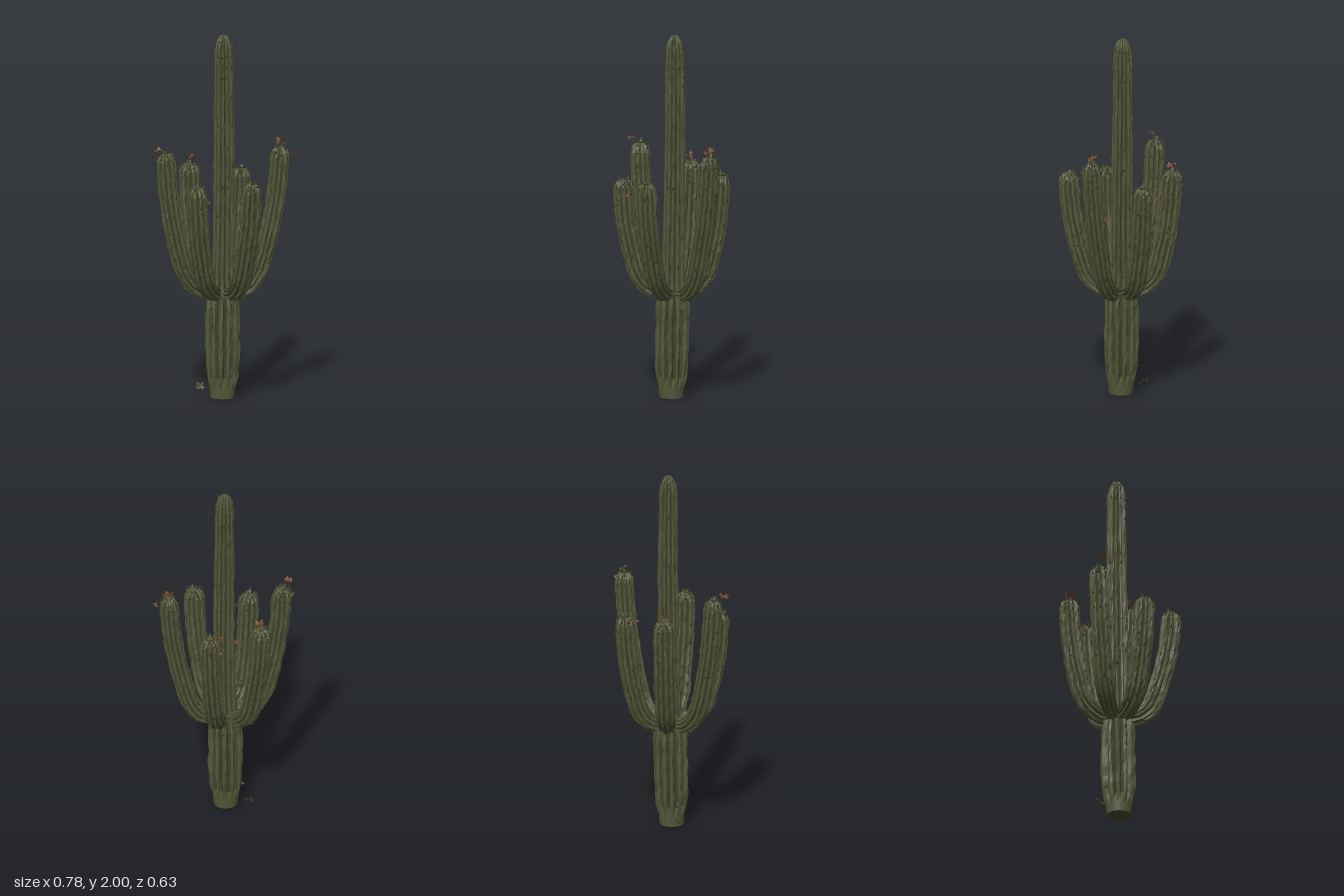
import * as THREE from 'three';

const mat = (name, color, side = THREE.FrontSide) => {
  const m = new THREE.MeshStandardMaterial({ color, flatShading: true, side });
  m.name = name;
  return m;
};

// Small seeded random, -1 to 1
let seed = 7;
const rnd = () => {
  seed = (seed * 16807) % 2147483647;
  return (seed / 2147483647) * 2 - 1;
};
const V = (x, y, z) => new THREE.Vector3(x, y, z);

// Piecewise linear lookup in [[u, radius], ...]
function lookup(profile, u) {
  for (let i = 1; i < profile.length; i++) {
    const [u0, r0] = profile[i - 1], [u1, r1] = profile[i];
    if (u <= u1) return r0 + ((r1 - r0) * (u - u0)) / (u1 - u0);
  }
  return profile[profile.length - 1][1];
}

function toGeometry(lists) {
  const g = new THREE.BufferGeometry();
  const all = lists.flat();
  g.setAttribute('position', new THREE.Float32BufferAttribute(all.flatMap((p) => [p.x, p.y, p.z]), 3));
  let start = 0;
  lists.forEach((l, i) => {
    g.addGroup(start, l.length, i);
    start += l.length;
  });
  g.computeVertexNormals();
  return g;
}

// Ribbed, slightly ragged stem along a curve; group 0 = ribs, group 1 = grooves.
// Also collects ragged bark shards along the ribs and at the tip.
function ribbedStem(curve, side, profile, ribs, rings, smoothUntil, shards) {
  const ribShape = [0.8, 0.96, 1.05, 0.96];
  const n = ribs * 4;
  const us = [];
  for (let k = 0; k <= rings; k++) us.push((k / rings) * 0.94);
  us.push(0.965, 0.985, 1);
  const loops = us.map((u, k) => {
    const c = curve.getPointAt(u), t = curve.getTangentAt(u);
    const N = side.clone().cross(t).normalize();
    const B = t.clone().cross(N);
    const loop = [];
    for (let i = 0; i < n; i++) {
      const smooth = u < smoothUntil;
      const f = smooth ? 1 : ribShape[i % 4] + rnd() * 0.05;
      const a = ((i + (smooth ? 0 : rnd() * 0.22)) / n) * Math.PI * 2;
      const r = lookup(profile, u) * f;
      const out = N.clone().multiplyScalar(Math.cos(a)).addScaledVector(B, Math.sin(a));
      const p = c.clone().addScaledVector(out, r);
      if (k > 0 && k < us.length - 1 && !smooth) p.addScaledVector(t, rnd() * 0.006);
      loop.push(p);
      // shards peel off rib crests, more of them near the tip
      if (!smooth && u > 0.15 && i % 4 === 2 && Math.abs(rnd()) < (u > 0.9 ? 0.65 : 0.22)) {
        const w = out.clone().cross(t).multiplyScalar(0.008);
        const tip = p.clone().addScaledVector(out, 0.007 + 0.005 * rnd()).addScaledVector(t, 0.022 + 0.012 * rnd());
        if (tip.y < 1.995) shards.push(p.clone().add(w), p.clone().sub(w), tip);
      }
    }
    return loop;
  });
  const rib = [], groove = [];
  for (let k = 0; k < loops.length - 1; k++)
    for (let i = 0; i < n; i++) {
      const j = (i + 1) % n;
      const a = loops[k][i], b = loops[k][j], c = loops[k + 1][j], d = loops[k + 1][i];
      const inGroove = us[k] >= smoothUntil && (i % 4 === 0 || i % 4 === 3);
      (inGroove ? groove : rib).push(a, b, c, a, c, d);
    }
  // end caps
  const first = loops[0], last = loops[loops.length - 1];
  const c0 = curve.getPointAt(0), c1 = curve.getPointAt(1);
  for (let i = 0; i < n; i++) {
    const j = (i + 1) % n;
    groove.push(c0, first[j], first[i]);
    rib.push(c1, last[i], last[j]);
  }
  return toGeometry([rib, groove]);
}

// Withered blossom: a few bent, pointed petals around a centre
function blossom(size) {
  const pts = [];
  for (let i = 0; i < 5; i++) {
    const a = (i / 5) * Math.PI * 2 + rnd() * 0.4;
    const dir = V(Math.cos(a), 0.35 * rnd(), Math.sin(a)).normalize();
    const w = V(-Math.sin(a), 0.5 * rnd(), Math.cos(a)).multiplyScalar(size * 0.35);
    const mid = dir.clone().multiplyScalar(size * 0.65);
    const tip = dir.clone().multiplyScalar(size * (1 + 0.2 * rnd()));
    tip.y += size * 0.35;
    const l = mid.clone().add(w), r = mid.clone().sub(w);
    pts.push(V(0, 0, 0), l, r, l, tip, r);
  }
  return toGeometry([pts]);
}

export function createModel() {
  seed = 7;
  const group = new THREE.Group();
  const ribMat = mat('olive green', 0x55573a);
  const grooveMat = mat('dark olive groove', 0x42452d);
  const shardMat = mat('dry bark green', 0x474a31, THREE.DoubleSide);
  const brownMat = mat('withered brown', 0x74492b, THREE.DoubleSide);
  const shards = [];
  const add = (name, geo, material) => {
    const m = new THREE.Mesh(geo, material);
    m.name = name;
    group.add(m);
    return m;
  };

  // Trunk: smooth foot, thick lower column, slim upper column
  const trunkCurve = new THREE.CatmullRomCurve3([
    V(-0.018, 0, 0), V(-0.013, 0.5, -0.008), V(-0.006, 1, -0.012), V(-0.006, 1.5, -0.018), V(-0.008, 2, -0.018),
  ]);
  const trunkProfile = [[0, 0.066], [0.05, 0.074], [0.06, 0.086], [0.15, 0.09], [0.265, 0.088], [0.3, 0.07],
    [0.34, 0.06], [0.5, 0.057], [0.94, 0.049], [0.965, 0.046], [0.985, 0.036], [1, 0.018]];
  add('trunk', ribbedStem(trunkCurve, V(0, 0, 1), trunkProfile, 12, 34, 0.055, shards), [ribMat, grooveMat]);

  // Arms: [name, tip x, tip z, tip height, bulge of the elbow, radius]
  const arms = [
    ['leftArm', 0.305, -0.02, 1.375, 0, 0.05],
    ['rightArm', -0.327, -0.018, 1.355, 0.03, 0.052],
    ['backRightArm', -0.162, -0.24, 1.255, 0.05, 0.055],
    ['frontLeftArm', 0.105, 0.262, 1.23, 0.02, 0.054],
    ['frontRightArm', -0.188, 0.198, 1.2, 0.05, 0.055],
    ['backLeftArm', 0.12, -0.235, 1.22, 0.04, 0.052],
  ];
  const armProfile = [[0, 0.036], [0.15, 0.046], [0.3, 1], [0.94, 1], [0.965, 0.88], [0.985, 0.68], [1, 0.35]];
  for (const [name, tx, tz, top, bulge, r] of arms) {
    const cx = -0.012, cz = -0.015;
    const reach = Math.hypot(tx - cx, tz - cz);
    const dx = (tx - cx) / reach, dz = (tz - cz) / reach;
    const at = (f, y) => V(cx + dx * reach * f, y, cz + dz * reach * f);
    const rise = top - 0.58;
    const curve = new THREE.CatmullRomCurve3([
      at(0.08, 0.58), at(0.36, 0.59), at(0.58 + bulge, 0.58 + rise * 0.11),
      at(0.76 + bulge, 0.58 + rise * 0.34), at(0.92 + bulge / 2, 0.58 + rise * 0.66), at(1, top),
    ]);
    const profile = armProfile.map(([u, f], i) => [u, i < 2 ? f : f * r]);
    add(name, ribbedStem(curve, V(-dz, 0, dx), profile, 10, 22, 0, shards), [ribMat, grooveMat]);
  }

  // Ragged bark shards over all stems
  add('barkShards', toGeometry([shards]), shardMat);

  // Withered blossoms and loose green tufts: [x, y, z, size, brown?]
  const bits = [
    [-0.365, 1.375, 0.015, 0.034, 1], [0.3, 1.4, -0.025, 0.036, 1], [0.372, 1.33, -0.002, 0.018, 1],
    [-0.16, 1.285, -0.235, 0.032, 1], [0.055, 1.2, -0.215, 0.022, 1], [0.105, 0.97, -0.17, 0.022, 1],
    [-0.11, 0.92, 0.165, 0.018, 1], [-0.13, 1.12, 0.22, 0.018, 1], [-0.385, 1.3, -0.005, 0.016, 0],
    [0.07, 1.155, -0.3, 0.016, 1], [-0.18, 0.9, 0.09, 0.015, 0], [-0.215, 1.0, 0.15, 0.014, 0],
    [0.3, 1.33, 0.03, 0.018, 0], [-0.13, 0.05, -0.075, 0.03, 0], [-0.1, 0.14, -0.05, 0.012, 0],
  ];
  bits.forEach(([x, y, z, s, brown], i) => {
    const m = add(brown ? 'witheredBlossom' : 'greenTuft', blossom(s), brown ? brownMat : shardMat);
    m.position.set(x, y, z);
    m.rotation.set(0.4 * Math.sin(i * 2.1), i * 1.3, 0.4 * Math.cos(i * 1.7));
  });
  return group;
}
